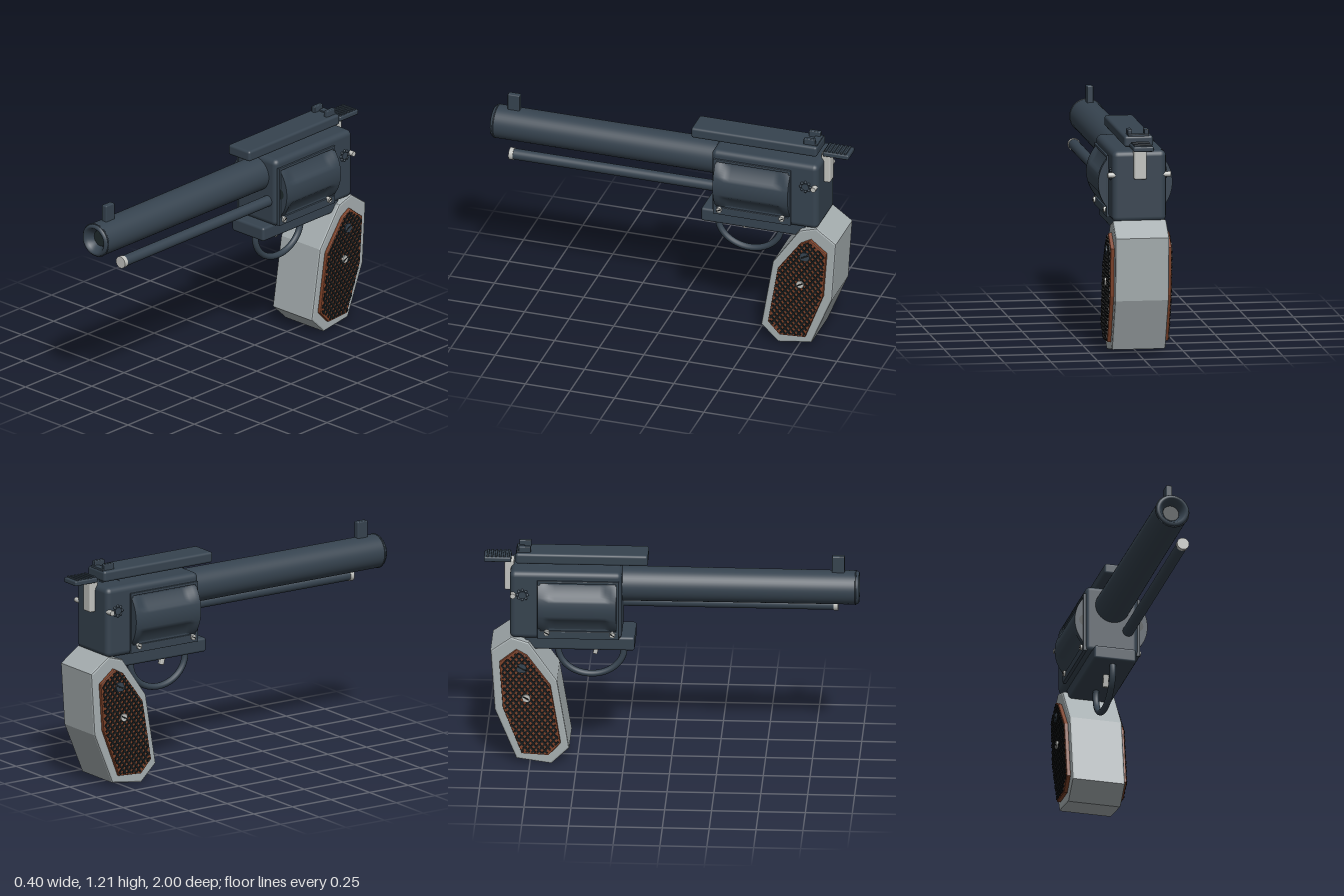
import * as THREE from 'three';
import { mergeGeometries } from 'three/addons/utils/BufferGeometryUtils.js';
import { RoundedBoxGeometry } from 'three/addons/geometries/RoundedBoxGeometry.js';

const paint = (name, hex) => {
  const m = new THREE.MeshStandardMaterial({ color: hex });
  m.name = name;
  return m;
};

export function createModel() {
  const gunmetal = paint('gunmetal', 0x36434f);
  const gripGrey = paint('grip grey', 0xa6aeb0);
  const silver = paint('silver', 0xc2c3bf);
  const wood = paint('brown wood', 0x7c4128);
  const black = paint('black', 0x171a1b);
  const bore = paint('bore', 0x1f2a2c);

  const group = new THREE.Group();
  group.name = 'revolver';
  const add = (name, geo, mat, x = 0, y = 0, z = 0) => {
    const m = new THREE.Mesh(geo, mat);
    m.name = name;
    m.position.set(x, y, z);
    group.add(m);
    return m;
  };
  // Rounded box given by its limits
  const block = (name, mat, [x0, x1], [y0, y1], [z0, z1], r = 0.01) =>
    add(name, new RoundedBoxGeometry(x1 - x0, y1 - y0, z1 - z0, 3, r), mat,
      (x0 + x1) / 2, (y0 + y1) / 2, (z0 + z1) / 2);
  const rodZ = (r, len, seg = 32) => new THREE.CylinderGeometry(r, r, len, seg).rotateX(Math.PI / 2);
  const rodX = (r, len, seg = 20) => new THREE.CylinderGeometry(r, r, len, seg).rotateZ(Math.PI / 2);
  // Extrusion of a side outline of [z, y] points, centred on x = 0
  const sideExtrude = (pts, width, bevel, hole) => {
    const shape = new THREE.Shape(pts.map(p => new THREE.Vector2(...p)));
    if (hole) shape.holes.push(new THREE.Path(hole.map(p => new THREE.Vector2(...p))));
    const depth = width - 2 * bevel;
    const geo = new THREE.ExtrudeGeometry(shape, {
      depth, bevelEnabled: bevel > 0, bevelSize: bevel, bevelThickness: bevel,
      bevelOffset: -bevel, bevelSegments: 2, steps: 1,
    });
    return geo.translate(0, 0, -depth / 2).rotateY(-Math.PI / 2);
  };

  // Barrel with a funnelled muzzle
  const profile = [[0.094, -0.3], [0.092, 0.3], [0.091, 0.975], [0.088, 0.992], [0.08, 1], [0.07, 0.998],
    [0.062, 0.985], [0.045, 0.96], [0.042, 0.9]].map(p => new THREE.Vector2(...p));
  add('barrel', new THREE.LatheGeometry(profile, 48).rotateX(Math.PI / 2), gunmetal, 0, 0.995, 0)
    .material.side = THREE.DoubleSide;
  add('bore', new THREE.CircleGeometry(0.044, 32), bore, 0, 0.995, 0.95);
  add('muzzleRing', new THREE.TorusGeometry(0.09, 0.004, 6, 48), gunmetal, 0, 0.995, 0.982);
  block('frontSight', gunmetal, [-0.017, 0.017], [1.07, 1.175], [0.855, 0.922], 0.006);

  // Ejector rod beside the barrel
  add('ejectorRod', rodZ(0.03, 1.12), gunmetal, 0.086, 0.86, 0.3);
  add('ejectorCap', rodZ(0.033, 0.024), silver, 0.086, 0.86, 0.872);

  // Frame, top rib and lower plate
  block('frame', gunmetal, [-0.145, 0.145], [0.72, 1.105], [-0.858, -0.26], 0.03);
  block('topRib', gunmetal, [-0.078, 0.078], [1.122, 1.182], [-0.83, -0.125], 0.014);
  block('ribSupport', gunmetal, [-0.016, 0.016], [1.09, 1.13], [-0.8, -0.27], 0.004);
  block('lowerPlate', gunmetal, [-0.116, 0.116], [0.65, 0.728], [-0.78, -0.193], 0.014);

  // Fluted cylinder: the flutes lie between the six chambers and stop short of the front
  const drum = new THREE.CylinderGeometry(0.2, 0.2, 0.42, 96, 14).rotateX(Math.PI / 2);
  const pos = drum.attributes.position;
  for (let i = 0; i < pos.count; i++) {
    const x = pos.getX(i), y = pos.getY(i), z = pos.getZ(i);
    if (Math.hypot(x, y) < 0.19 || Math.abs(z) > 0.16) continue;
    const k = 1 - 0.07 * Math.max(0, -Math.cos(6 * Math.atan2(y, x))) ** 0.7;
    pos.setXY(i, x * k, y * k);
  }
  drum.computeVertexNormals();
  add('cylinder', drum, gunmetal, 0, 0.91, -0.497);
  for (let i = 0; i < 6; i++) {
    const a = i * Math.PI / 3;
    add('chamber', new THREE.CircleGeometry(0.032, 20), bore,
      0.145 * Math.cos(a), 0.91 + 0.145 * Math.sin(a), -0.286);
  }

  // Window rims, screws and pins on both sides
  const rect = (z0, z1, y0, y1) => [[z0, y0], [z1, y0], [z1, y1], [z0, y1]];
  const rim = sideExtrude(rect(-0.71, -0.275, 0.728, 1.06), 0.02, 0.004, rect(-0.695, -0.292, 0.772, 1.045));
  const screw = (name, s, x, y, z, r, mat, slot) => {
    add(name, rodX(r, 0.02), mat, s * (x - 0.01), y, z);
    add(name + 'Slot', new THREE.BoxGeometry(0.003, r * 0.35, r * 1.7), slot, s * x, y, z).rotation.x = 0.5;
  };

  // Grip body
  const gripOutline = [[-0.85, 0.73], [-0.96, 0.65], [-0.938, 0.31], [-0.822, 0.03], [-0.635, 0.003],
    [-0.54, 0.095], [-0.605, 0.485], [-0.755, 0.7]];
  add('grip', sideExtrude(gripOutline, 0.29, 0.01), gripGrey);

  // Grip panels with diagonal checkering clipped to the outline
  const panel = [[-0.822, 0.662], [-0.912, 0.59], [-0.893, 0.33], [-0.792, 0.068], [-0.65, 0.06],
    [-0.585, 0.13], [-0.64, 0.46], [-0.765, 0.63]];
  const cz = -0.745, cy = 0.365;
  const inner = panel.map(([z, y]) => [cz + (z - cz) * 0.93, cy + (y - cy) * 0.965]);
  const hatch = [];
  for (const slope of [0.9, -0.9]) {
    const dz = Math.cos(slope), dy = Math.sin(slope);
    for (let off = -0.4; off < 0.4; off += 0.024) {
      const hits = [];
      inner.forEach((p, i) => {
        const q = inner[(i + 1) % inner.length];
        const side = ([z, y]) => (y - cy) * dz - (z - cz) * dy - off;
        const a = side(p), b = side(q);
        if (a * b >= 0) return;
        const t = a / (a - b);
        hits.push([p[0] + (q[0] - p[0]) * t, p[1] + (q[1] - p[1]) * t]);
      });
      if (hits.length < 2) continue;
      const [[z0, y0], [z1, y1]] = hits;
      hatch.push(new THREE.BoxGeometry(0.006, 0.0095, Math.hypot(z1 - z0, y1 - y0))
        .rotateX(-slope).translate(0, (y0 + y1) / 2, (z0 + z1) / 2));
    }
  }
  const checkering = mergeGeometries(hatch);
  const panelGeo = sideExtrude(panel, 0.024, 0.005);

  for (const s of [1, -1]) {
    add('windowRim', rim, gunmetal, s * 0.146);
    add('gripPanel', panelGeo, wood, s * 0.153);
    add('checkering', checkering, black, s * 0.167);
    screw('gripScrew', s, 0.177, 0.39, -0.768, 0.021, silver, black);
    screw('upperGripScrew', s, 0.175, 0.562, -0.793, 0.026, gunmetal, black);
    screw('rimScrew', s, 0.166, 0.758, -0.31, 0.015, silver, black);
    screw('rimScrew', s, 0.166, 0.763, -0.66, 0.015, silver, black);
    add('framePin', rodX(0.014, 0.04), silver, s * 0.15, 0.975, -0.84);
    // Knurled rosette
    add('rosette', rodX(0.02, 0.02), gunmetal, s * 0.142, 0.975, -0.79);
    for (let i = 0; i < 8; i++) {
      const a = i * Math.PI / 4;
      add('rosetteBead', new THREE.SphereGeometry(0.008, 8, 6), gunmetal,
        s * 0.147, 0.975 + 0.027 * Math.sin(a), -0.79 + 0.027 * Math.cos(a));
    }
    block('rearSight', gunmetal, s > 0 ? [0.033, 0.057] : [-0.057, -0.033], [1.17, 1.215], [-0.815, -0.75], 0.005);
  }
  block('rearSightBase', gunmetal, [-0.057, 0.057], [1.175, 1.19], [-0.825, -0.785], 0.004);

  // Hammer with a ridged spur
  block('hammer', silver, [-0.034, 0.034], [0.955, 1.13], [-0.892, -0.84], 0.01);
  block('hammerSpur', gunmetal, [-0.055, 0.055], [1.122, 1.15], [-1, -0.855], 0.008);
  for (let i = 0; i < 6; i++)
    block('spurRidge', gunmetal, [-0.048, 0.048], [1.145, 1.157], [-0.985 + i * 0.022, -0.973 + i * 0.022], 0.003);

  // Trigger guard and trigger
  const loop = Array.from({ length: 25 }, (_, i) => {
    const a = Math.PI * (0.92 + 1.16 * i / 24);
    return new THREE.Vector3(0, 0.62 + 0.15 * Math.sin(a), -0.43 + 0.176 * Math.cos(a));
  });
  add('triggerGuard', new THREE.TubeGeometry(new THREE.CatmullRomCurve3(loop), 48, 0.0175, 12), gunmetal);
  add('trigger', new RoundedBoxGeometry(0.03, 0.085, 0.024, 2, 0.006), silver, 0, 0.628, -0.4).rotation.x = 0.22;

  return group;
}
